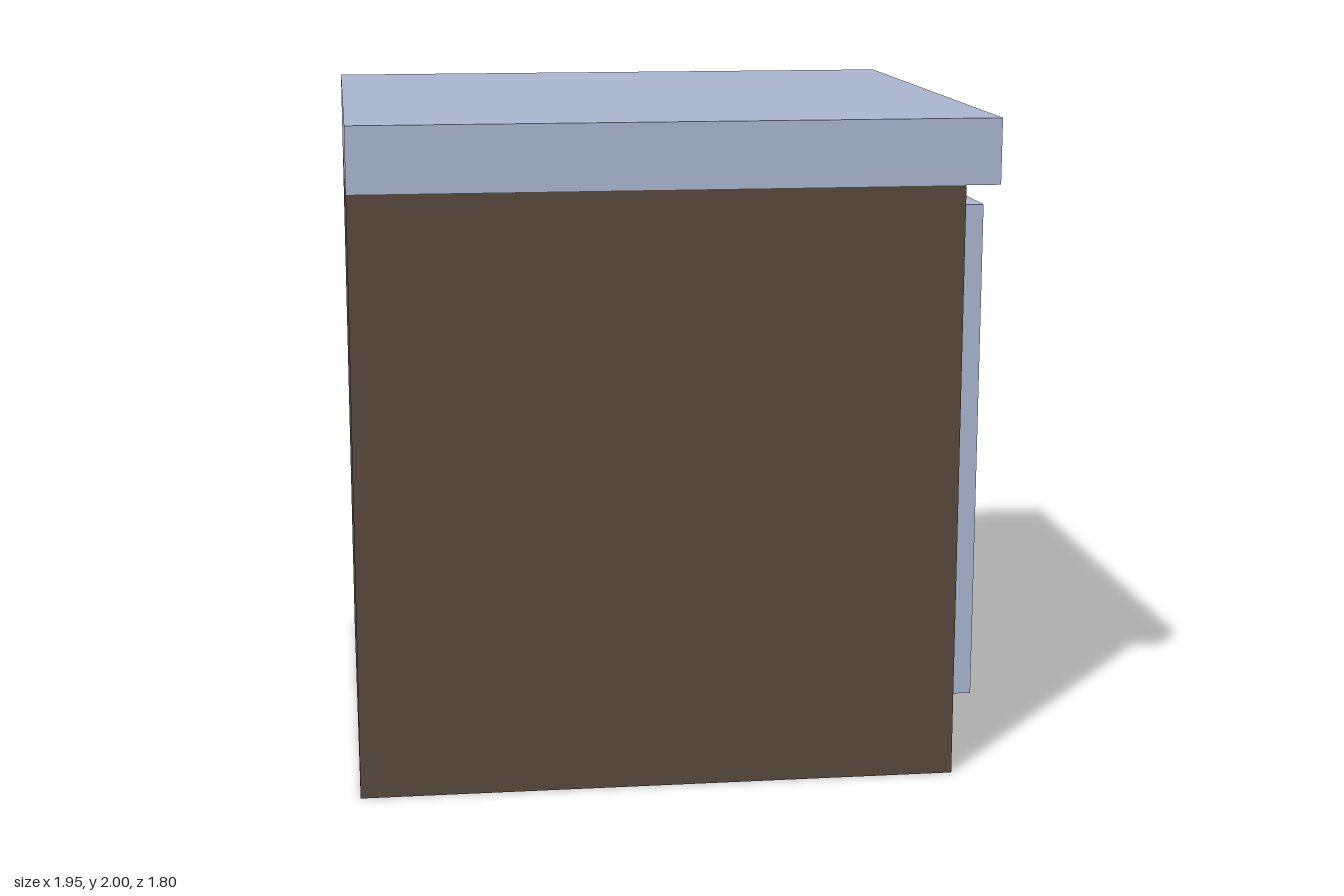
import * as THREE from 'three';

export function createModel() {
  const group = new THREE.Group();
  const brown = new THREE.MeshStandardMaterial({ color: 0x58483c });
  const paleBlue = new THREE.MeshStandardMaterial({ color: 0xaab6d0 });

  // Box given by its lower and upper limits on each axis
  function addBox(name, material, [x0, x1], [y0, y1], [z0, z1]) {
    const mesh = new THREE.Mesh(new THREE.BoxGeometry(x1 - x0, y1 - y0, z1 - z0), material);
    mesh.position.set((x0 + x1) / 2, (y0 + y1) / 2, (z0 + z1) / 2);
    mesh.name = name;
    group.add(mesh);
  }

  // Cabinet with a top that overhangs the door side
  addBox('cabinetBody', brown, [-0.975, 0.822], [0, 1.805], [-0.9, 0.9]);
  addBox('countertop', paleBlue, [-0.975, 0.925], [1.805, 2], [-0.9, 0.9]);

  // Door on the +x side with its upright handle
  addBox('door', paleBlue, [0.822, 0.905], [0.213, 1.732], [-0.783, 0.783]);
  addBox('doorHandle', brown, [0.905, 0.975], [0.84, 1.36], [-0.43, -0.345]);

  return group;
}
